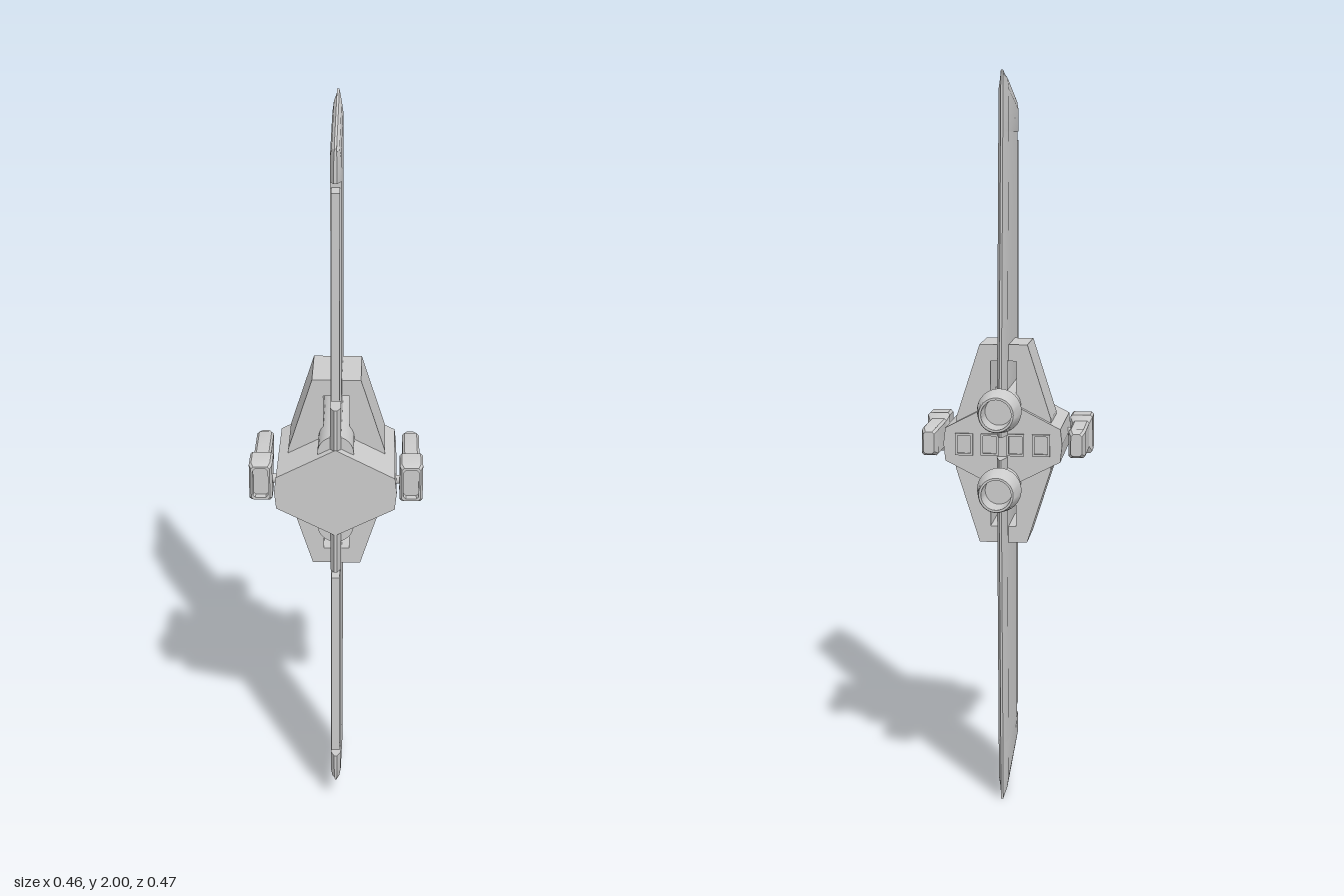
import * as THREE from 'three';
import { toCreasedNormals } from 'three/addons/utils/BufferGeometryUtils.js';

const grey = new THREE.MeshStandardMaterial({ color: 0xcccccc });
const open = new THREE.MeshStandardMaterial({ color: 0xcccccc, side: THREE.DoubleSide });

function add(parent, name, geometry, x = 0, y = 0, z = 0, material = grey) {
  const mesh = new THREE.Mesh(geometry, material);
  mesh.name = name;
  mesh.position.set(x, y, z);
  parent.add(mesh);
  return mesh;
}

// Skin between rings of points (counter-clockwise seen from the last ring), with end caps
function loft(rings, crease = 0.5) {
  const pos = [];
  const tri = (...pts) => pts.forEach((p) => pos.push(...p));
  const n = rings[0].length;
  for (let i = 0; i < rings.length - 1; i++) {
    for (let j = 0; j < n; j++) {
      const k = (j + 1) % n, a = rings[i], b = rings[i + 1];
      tri(a[j], a[k], b[k]);
      tri(a[j], b[k], b[j]);
    }
  }
  const first = rings[0], last = rings[rings.length - 1];
  for (let j = 1; j < n - 1; j++) {
    tri(first[0], first[j + 1], first[j]);
    tri(last[0], last[j], last[j + 1]);
  }
  const g = new THREE.BufferGeometry();
  g.setAttribute('position', new THREE.Float32BufferAttribute(pos, 3));
  return toCreasedNormals(g, crease);
}

const shapeOf = (pts) => new THREE.Shape(pts.map(([x, y]) => new THREE.Vector2(x, y)));
const extrude = (shape, depth) => new THREE.ExtrudeGeometry(shape, { depth, bevelEnabled: false });

// Wing section: sharp trailing edge, bevelled or blunt leading edge
const trail = (y) => -0.142 + 0.05 * y;
function wingRing(y, lead, t, nose, yTrail = y) {
  const zt = trail(yTrail);
  const at = (x, z) => [x, y + (yTrail - y) * (lead - z) / (lead - zt), z];
  return [
    at(-nose, lead), at(nose, lead), at(t, lead - 0.02), at(t, zt + 0.045),
    at(0.003, zt), at(-0.003, zt), at(-t, zt + 0.045), at(-t, lead - 0.02),
  ];
}

function makeWing() {
  const wing = new THREE.Group();
  const t = 0.014;
  add(wing, 'wingRoot', loft([wingRing(0.03, 0.234, t, 0.004), wingRing(0.238, 0.232, t, 0.004)]));
  add(wing, 'wingPanel', loft([wingRing(0.238, 0.17, t, t), wingRing(0.84, 0.17, t, t)]));
  add(wing, 'wingTip', loft([
    wingRing(0.84, 0.218, t, 0.004),
    wingRing(0.895, 0.216, t, 0.004, 0.96),
    wingRing(0.918, 0.214, 0.010, 0.003, 0.99),
    wingRing(0.926, 0.212, 0.003, 0.002, 1.0),
  ]));
  add(wing, 'leadingSlat', new THREE.BoxGeometry(0.022, 0.557, 0.05), 0, 0.539, 0.197);
  return wing;
}

function makeEngine() {
  const engine = new THREE.Group();
  const tube = new THREE.CylinderGeometry(0.048, 0.048, 0.358, 32).rotateX(Math.PI / 2);
  add(engine, 'engineTube', tube, 0, 0, 0.031);
  // Hollow nozzle, flaring forward and narrowing to the rear
  const profile = [[0.046, 0.144], [0.052, 0.148], [0.06, 0.16], [0.0485, 0.232], [0.046, 0.238],
    [0.04, 0.238], [0.037, 0.17], [0, 0.17]];
  const nozzle = new THREE.LatheGeometry(profile.map(([r, y]) => new THREE.Vector2(r, y)), 32);
  add(engine, 'engineNozzle', toCreasedNormals(nozzle.rotateX(-Math.PI / 2), 0.5), 0, 0, 0, open);
  return engine;
}

// Arch straddling the wing and engine, open in the middle
function makeArch() {
  const shape = shapeOf([
    [0.065, 0.273], [-0.065, 0.273], [-0.13, 0.07], [-0.13, 0.04], [-0.035, 0.04], [-0.035, 0.228],
    [0.035, 0.228], [0.035, 0.04], [0.13, 0.04], [0.13, 0.07],
  ]);
  return extrude(shape, 0.17).translate(0, 0, -0.06);
}

function makePod() {
  const pod = new THREE.Group();
  const ring = (z, w, h) => {
    const c = 0.006;
    return [[w, h - c], [w - c, h], [c - w, h], [-w, h - c], [-w, c - h], [c - w, -h], [w - c, -h], [w, c - h]]
      .map(([x, y]) => [x, y, z]);
  };
  // Slim rear body, wider head and a shallow recess in the front
  add(pod, 'podBody', loft([
    ring(-0.09, 0.015, 0.03), ring(-0.06, 0.023, 0.039), ring(0.092, 0.023, 0.039), ring(0.104, 0.031, 0.054),
    ring(0.172, 0.031, 0.054), ring(0.185, 0.025, 0.048), ring(0.185, 0.02, 0.042), ring(0.165, 0.02, 0.042),
  ]));
  return pod;
}

export function createModel() {
  const model = new THREE.Group();
  model.name = 'spacecraft';
  const craft = new THREE.Group();
  craft.name = 'craft';
  craft.position.y = 1;
  model.add(craft);

  // Hexagonal hull with slightly peaked sides
  const hull = shapeOf([[0, 0.127], [-0.157, 0.046], [-0.162, 0.003], [-0.157, -0.044], [0, -0.124],
    [0.157, -0.044], [0.162, 0.003], [0.157, 0.046]]);
  add(craft, 'hull', extrude(hull, 0.315), 0, 0, -0.08);

  // Upper and lower halves: the lower one is a half turn of the upper
  for (const [name, turn] of [['upper', 0], ['lower', Math.PI]]) {
    const half = new THREE.Group();
    half.name = name + 'Half';
    half.rotation.z = turn;
    const wing = makeWing();
    wing.name = name + 'Wing';
    const engine = makeEngine();
    engine.name = name + 'Engine';
    engine.position.y = 0.107;
    half.add(wing, engine);
    add(half, name + 'Arch', makeArch());
    craft.add(half);
  }

  // Side pods on short pivots
  for (const side of [-1, 1]) {
    const pod = makePod();
    pod.name = side > 0 ? 'leftPod' : 'rightPod';
    pod.position.set(side * 0.201, 0.005, 0);
    craft.add(pod);
    const pivot = new THREE.CylinderGeometry(0.012, 0.012, 0.03, 16).rotateZ(Math.PI / 2);
    add(craft, 'podPivot', pivot, side * 0.164, 0.005, 0.152);
  }

  // Row of four framed vents on the back
  for (const x of [-0.105, -0.035, 0.035, 0.105]) {
    const frame = shapeOf([[-0.024, -0.03], [0.024, -0.03], [0.024, 0.03], [-0.024, 0.03]]);
    frame.holes.push(shapeOf([[-0.018, -0.024], [-0.018, 0.024], [0.018, 0.024], [0.018, -0.024]]));
    add(craft, 'rearVent', extrude(frame, 0.01), x, 0.002, -0.087);
  }
  return model;
}
